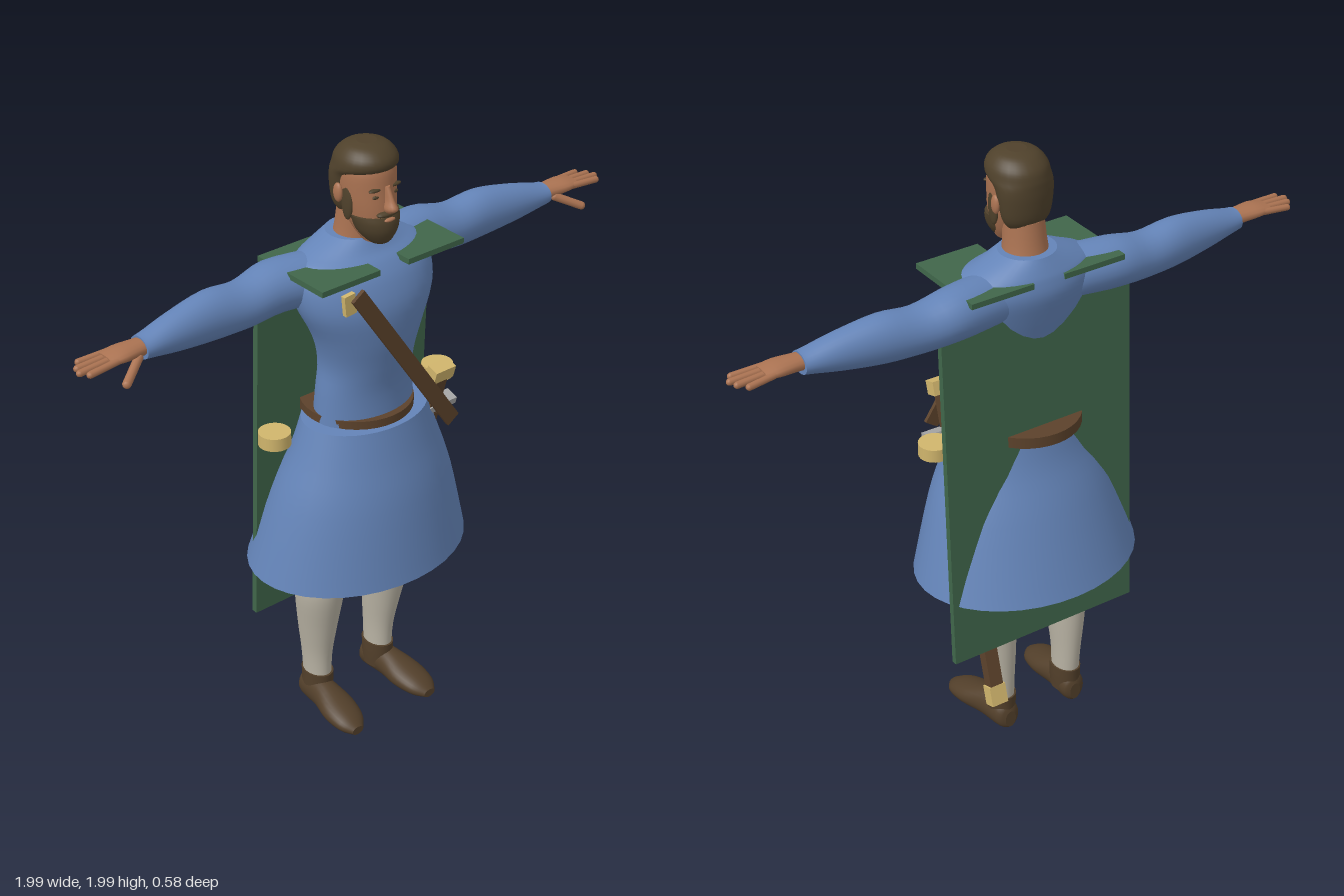
import * as THREE from 'three';

const paint = (name, color) => Object.assign(new THREE.MeshStandardMaterial({ color }), { name });

// Catmull-Rom blend of four numbers
const blend = (a, b, c, d, t) => 0.5 * (2 * b + (c - a) * t + (2 * a - 5 * b + 4 * c - d) * t * t + (3 * b - a - 3 * c + d) * t * t * t);

// Smooth skin through elliptical sections [t, u, v, ru, rv] stacked along an axis:
// y -> (u, t, v), x -> (t, u, v), z -> (u, v, t); ends are capped
function loft(axis, sections, segs = 28, steps = 4) {
  const rings = [];
  const last = sections.length - 1;
  const at = (i) => sections[Math.min(last, Math.max(0, i))];
  for (let i = 0; i < last; i++) {
    for (let k = 0; k < steps; k++) {
      rings.push(at(i).map((b, j) => blend(at(i - 1)[j], b, at(i + 1)[j], at(i + 2)[j], k / steps)));
    }
  }
  rings.push(at(last));
  const pos = [], index = [];
  const put = (t, u, v) => {
    if (axis === 'y') pos.push(u, t, v);
    else if (axis === 'x') pos.push(t, u, v);
    else pos.push(u, v, t);
    return pos.length / 3 - 1;
  };
  const tri = (a, b, c) => (axis === 'y' ? index.push(a, c, b) : index.push(a, b, c));
  const ring = ([t, u, v, ru, rv]) => {
    const start = pos.length / 3;
    for (let j = 0; j < segs; j++) {
      const a = (j / segs) * Math.PI * 2;
      put(t, u + ru * Math.cos(a), v + rv * Math.sin(a));
    }
    return start;
  };
  const starts = rings.map(ring);
  for (let i = 0; i < starts.length - 1; i++) {
    for (let j = 0; j < segs; j++) {
      const n = (j + 1) % segs;
      const a = starts[i] + j, b = starts[i] + n, c = starts[i + 1] + j, d = starts[i + 1] + n;
      tri(a, b, d);
      tri(a, d, c);
    }
  }
  for (const end of [rings[0], rings[rings.length - 1]]) {
    const s = ring(end), m = put(end[0], end[1], end[2]);
    for (let j = 0; j < segs; j++) {
      const n = (j + 1) % segs;
      if (end === rings[0]) tri(m, s + n, s + j);
      else tri(m, s + j, s + n);
    }
  }
  const geo = new THREE.BufferGeometry();
  geo.setAttribute('position', new THREE.Float32BufferAttribute(pos, 3));
  geo.setIndex(index);
  geo.computeVertexNormals();
  return geo;
}

// Copy of a geometry reflected in x, with its winding put right
function reflect(geo) {
  const g = geo.clone();
  for (const name of ['position', 'normal']) {
    const a = g.attributes[name];
    for (let i = 0; i < a.count; i++) a.setX(i, -a.getX(i));
  }
  const ix = g.index.array;
  for (let i = 0; i < ix.length; i += 3) [ix[i], ix[i + 1]] = [ix[i + 1], ix[i]];
  return g;
}

const box = (w, h, d, x = 0, y = 0, z = 0) => new THREE.BoxGeometry(w, h, d).translate(x, y, z);
const ball = (rx, ry, rz, x, y, z) => new THREE.SphereGeometry(1, 16, 12).scale(rx, ry, rz).translate(x, y, z);

// Rounded rod between two points
function rod(from, to, r) {
  const a = new THREE.Vector3(...from), b = new THREE.Vector3(...to);
  const dir = b.clone().sub(a), len = dir.length();
  const q = new THREE.Quaternion().setFromUnitVectors(new THREE.Vector3(0, 1, 0), dir.normalize());
  const mid = a.add(b).multiplyScalar(0.5);
  return new THREE.CapsuleGeometry(r, len - 2 * r, 4, 10).applyQuaternion(q).translate(mid.x, mid.y, mid.z);
}

export function createModel() {
  const model = new THREE.Group();
  model.name = 'cloakedMan';
  const cloth = paint('blueCloth', 0x6484b8), green = paint('greenCloth', 0x40664a);
  const leather = paint('leather', 0x5c422b), gold = paint('paleGold', 0xd0b56c);
  const skin = paint('skin', 0xab7352), hair = paint('hair', 0x4f412b);
  const wool = paint('wool', 0xb9b3a4), red = paint('redCloth', 0xa04a44);
  const steel = paint('steel', 0xa6a6a6), shoe = paint('shoeLeather', 0x523f2a);

  const add = (name, geo, mat, parent = model) => {
    const mesh = new THREE.Mesh(geo, mat);
    mesh.name = name;
    parent.add(mesh);
    return mesh;
  };
  const pair = (name, geo, mat) => {
    add(name + 'Left', geo, mat);
    add(name + 'Right', reflect(geo), mat);
  };

  // Tunic
  add('tunicBody', loft('y', [
    [1.06, 0, 0.03, 0.175, 0.125], [1.2, 0, 0.035, 0.167, 0.115], [1.3, 0, 0.043, 0.16, 0.122],
    [1.4, 0, 0.047, 0.185, 0.137], [1.5, 0, 0.036, 0.232, 0.153], [1.58, 0, 0.015, 0.245, 0.15],
    [1.63, 0, 0.002, 0.225, 0.13], [1.66, 0, -0.008, 0.17, 0.107], [1.695, 0, -0.01, 0.09, 0.085]], 36), cloth);
  add('skirt', loft('y', [
    [0.6, 0, 0, 0.376, 0.292], [0.85, 0, 0.025, 0.308, 0.232], [1, 0, 0.037, 0.252, 0.184],
    [1.108, 0, 0.037, 0.215, 0.158]], 36), cloth);
  add('skirtLining', new THREE.CylinderGeometry(1, 1, 0.008, 36).scale(0.36, 1, 0.275).translate(0, 0.596, 0), gold);
  pair('sleeve', loft('x', [
    [0.13, 1.575, -0.02, 0.08, 0.09], [0.28, 1.578, -0.045, 0.08, 0.085], [0.4, 1.563, -0.04, 0.072, 0.074],
    [0.52, 1.57, -0.036, 0.077, 0.066], [0.65, 1.568, -0.026, 0.06, 0.055], [0.75, 1.565, -0.018, 0.038, 0.046],
    [0.775, 1.565, -0.016, 0.034, 0.043]]), cloth);

  // Hands
  pair('palm', loft('x', [
    [0.74, 1.567, -0.016, 0.026, 0.032], [0.79, 1.57, -0.014, 0.024, 0.036],
    [0.85, 1.572, -0.013, 0.021, 0.044], [0.895, 1.572, -0.014, 0.012, 0.04]], 16), skin);
  [[-0.045, 0.965, -0.056], [-0.024, 0.988, -0.027], [-0.003, 0.997, 0], [0.018, 0.98, 0.026]].forEach(([z, x, tipZ], i) =>
    pair('finger' + (i + 1), rod([0.86, 1.572, z], [x, 1.566, tipZ], 0.0105), skin));
  pair('thumb', rod([0.79, 1.56, 0.008], [0.885, 1.512, 0.066], 0.0135), skin);

  // Legs and shoes
  pair('trouserLeg', loft('y', [[0.53, 0.136, -0.01, 0.06, 0.075], [0.6, 0.132, -0.005, 0.064, 0.08], [0.75, 0.12, 0, 0.08, 0.09]]), red);
  pair('stocking', loft('y', [
    [0.09, 0.128, -0.045, 0.04, 0.052], [0.2, 0.13, -0.045, 0.044, 0.058], [0.32, 0.134, -0.035, 0.058, 0.072],
    [0.45, 0.139, -0.018, 0.073, 0.085], [0.53, 0.138, -0.01, 0.07, 0.086], [0.575, 0.134, -0.006, 0.063, 0.081]]), wool);
  pair('shoe', loft('z', [
    [-0.106, 0.128, 0.045, 0.02, 0.03], [-0.085, 0.13, 0.055, 0.042, 0.05], [0, 0.137, 0.055, 0.046, 0.052],
    [0.08, 0.144, 0.044, 0.06, 0.041], [0.15, 0.15, 0.032, 0.05, 0.029], [0.19, 0.153, 0.022, 0.022, 0.014]]), shoe);
  pair('shoeCuff', loft('y', [[0.04, 0.13, -0.045, 0.045, 0.058], [0.09, 0.128, -0.045, 0.046, 0.058], [0.13, 0.128, -0.045, 0.046, 0.06]]), shoe);

  // Head
  add('neck', loft('y', [[1.62, 0, -0.01, 0.085, 0.08], [1.7, 0, 0, 0.068, 0.069], [1.79, 0, 0.01, 0.062, 0.065]]), skin);
  add('head', loft('y', [
    [1.7, 0, 0.085, 0.04, 0.045], [1.74, 0, 0.07, 0.06, 0.07], [1.8, 0, 0.053, 0.076, 0.091],
    [1.86, 0, 0.045, 0.084, 0.094], [1.92, 0, 0.04, 0.085, 0.092], [1.96, 0, 0.04, 0.065, 0.07]]), skin);
  add('nose', loft('y', [[1.8, 0, 0.146, 0.012, 0.012], [1.815, 0, 0.152, 0.018, 0.027], [1.84, 0, 0.144, 0.011, 0.022], [1.88, 0, 0.135, 0.008, 0.01]], 14), skin);
  add('beard', loft('y', [
    [1.69, 0, 0.1, 0.018, 0.022], [1.703, 0, 0.098, 0.038, 0.042], [1.735, 0, 0.09, 0.062, 0.064],
    [1.765, 0, 0.085, 0.073, 0.069], [1.785, 0, 0.078, 0.077, 0.068]]), hair);
  add('moustache', ball(0.042, 0.01, 0.016, 0, 1.796, 0.141), hair);
  add('lips', ball(0.02, 0.006, 0.009, 0, 1.777, 0.148), skin);
  pair('sideburn', ball(0.01, 0.06, 0.024, 0.077, 1.825, 0.05), hair);
  pair('ear', ball(0.011, 0.03, 0.018, 0.088, 1.845, 0.022), skin);
  pair('eye', ball(0.014, 0.006, 0.006, 0.034, 1.85, 0.128), hair);
  pair('eyebrow', ball(0.024, 0.006, 0.01, 0.036, 1.872, 0.126), hair);
  add('hair', loft('y', [
    [1.765, 0, 0, 0.055, 0.035], [1.8, 0, -0.005, 0.078, 0.052], [1.86, 0, -0.002, 0.089, 0.062],
    [1.9, 0, 0.008, 0.093, 0.072], [1.925, 0, 0.036, 0.095, 0.098], [1.955, 0, 0.043, 0.088, 0.095],
    [1.982, 0, 0.044, 0.064, 0.066], [1.993, 0, 0.044, 0.03, 0.03]]), hair);

  // Cape and shoulder plates
  const cape = add('cape', box(0.67, 1.2, 0.02), green);
  cape.position.set(0.02, 0.99, -0.105);
  cape.rotation.x = 0.04;
  pair('shoulderPlate', box(0.216, 0.018, 0.3, 0.162, 1.632, 0.022), green);

  // Belt, pouches and shoulder strap
  add('belt', new THREE.CylinderGeometry(0.175, 0.175, 0.036, 36).translate(0, 1.117, 0), leather);
  pair('pouch', new THREE.CylinderGeometry(0.05, 0.05, 0.042, 24).translate(0.324, 1.105, 0.006), gold);
  const strap = add('strap', box(0.05, 0.67, 0.012), leather);
  strap.position.set(0.027, 1.327, 0.199);
  strap.rotation.z = 0.6;
  const clasp = add('strapClasp', box(0.04, 0.065, 0.016), gold);
  clasp.position.set(-0.172, 1.57, 0.172);
  clasp.rotation.z = 0.1;

  // Sword, hung at a slant on the left hip
  const sword = new THREE.Group();
  sword.name = 'sword';
  sword.position.set(0.207, 0.71, 0.005);
  sword.rotation.set(0.3, 0, 0.012);
  model.add(sword);
  add('scabbard', box(0.046, 0.84, 0.036, 0, -0.07, 0), leather, sword);
  add('scabbardTip', box(0.058, 0.065, 0.04, 0, -0.515, 0), gold, sword);
  add('grip', box(0.04, 0.16, 0.034, 0, 0.425, 0), leather, sword);
  add('crossguard', box(0.17, 0.024, 0.045, 0, 0.375, 0), steel, sword);
  add('pommel', box(0.078, 0.045, 0.042, 0, 0.52, 0), gold, sword);

  return model;
}
